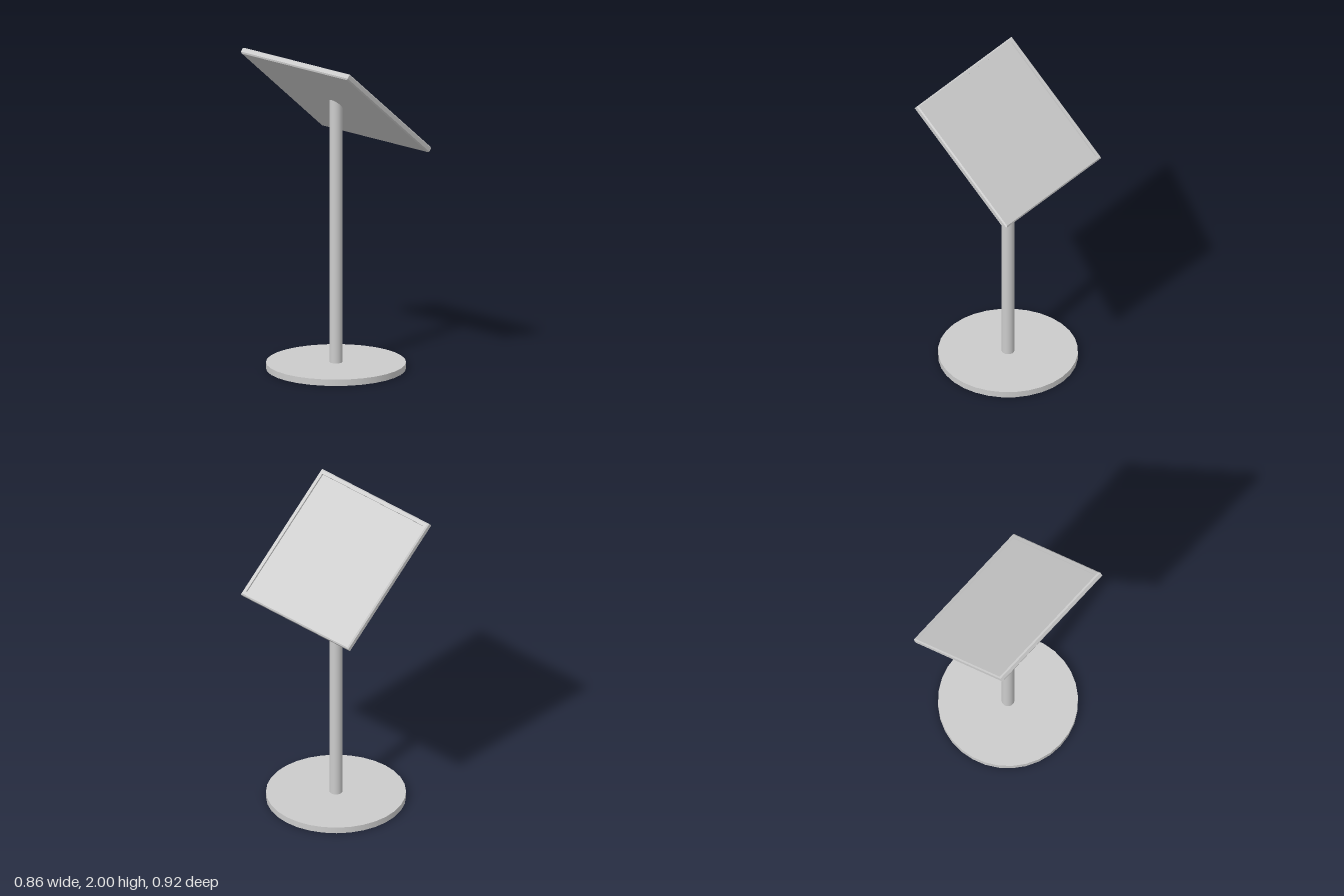
import * as THREE from 'three';

export function createModel() {
  const model = new THREE.Group();
  model.name = 'displayStand';
  const smooth = new THREE.MeshStandardMaterial({ color: 0xcccccc });
  const flat = new THREE.MeshStandardMaterial({ color: 0xcccccc, flatShading: true });
  const add = (parent, name, geometry, material) => {
    const mesh = new THREE.Mesh(geometry, material);
    mesh.name = name;
    parent.add(mesh);
    return mesh;
  };

  const tilt = THREE.MathUtils.degToRad(40);
  const panelY = 1.694;

  // Round foot
  const baseHeight = 0.04;
  add(model, 'base', new THREE.CylinderGeometry(0.428, 0.428, baseHeight, 32), smooth)
    .position.y = baseHeight / 2;

  // Post, its top cut along the slope of the panel
  const post = new THREE.CylinderGeometry(0.039, 0.039, 1, 32, 1, true);
  const pos = post.attributes.position;
  for (let i = 0; i < pos.count; i++) {
    const top = pos.getY(i) > 0;
    pos.setY(i, top ? panelY - pos.getX(i) * Math.tan(tilt) : baseHeight);
  }
  add(model, 'post', post, smooth);

  // Tilted square panel
  const panel = new THREE.Group();
  panel.name = 'panel';
  panel.position.y = panelY;
  panel.rotation.z = -tilt;
  model.add(panel);

  // Housing: chamfered square section with a raised rim, as a four-sided lathe
  const half = 0.461, t = 0.02, c = 0.008, inner = 0.432, screenY = 0.01;
  const profile = [
    [0, -t], [half - c, -t], [half, -t + c], [half, t - c],
    [half - c, t], [inner, t], [inner, screenY],
  ].map(([r, y]) => new THREE.Vector2(r * Math.SQRT2, y));
  const housing = new THREE.LatheGeometry(profile, 4).rotateY(Math.PI / 4).toNonIndexed();
  housing.computeVertexNormals();
  add(panel, 'housing', housing, flat);

  // Recessed screen
  const screen = new THREE.PlaneGeometry(inner * 2, inner * 2).rotateX(-Math.PI / 2);
  add(panel, 'screen', screen, flat).position.y = screenY;

  return model;
}
